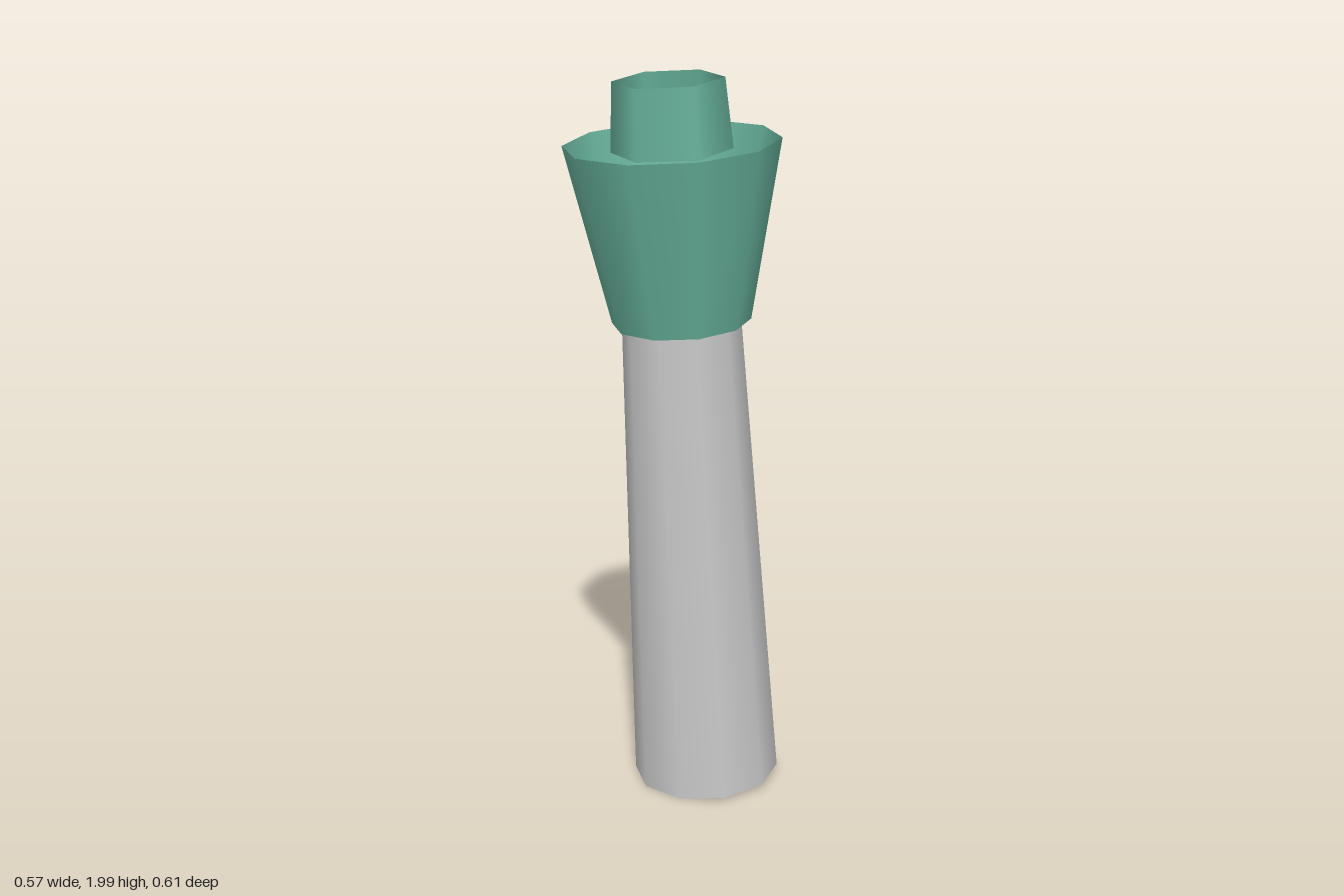
import * as THREE from 'three';

// Leaning centre line shared by all parts
const foot = new THREE.Vector3(0.028, 0.02, -0.106);
const slope = new THREE.Vector3(-0.0155, 1, 0.0725);
const axis = slope.clone().normalize();

const grey = new THREE.MeshStandardMaterial({ color: 0xcccccc, side: THREE.DoubleSide });
const green = new THREE.MeshStandardMaterial({ color: 0x69b59e, side: THREE.DoubleSide });

// Open tapered tube between two heights on the leaning centre line
function tube(name, y0, y1, r0, r1, sides, turn, material) {
  const length = (y1 - y0) * slope.length();
  const geometry = new THREE.CylinderGeometry(r1, r0, length, sides, 1, true, turn);
  const mesh = new THREE.Mesh(geometry, material);
  mesh.name = name;
  mesh.quaternion.setFromUnitVectors(new THREE.Vector3(0, 1, 0), axis);
  mesh.position.copy(foot).addScaledVector(slope, (y0 + y1) / 2 - foot.y);
  return mesh;
}

export function createModel() {
  const model = new THREE.Group();
  model.name = 'leaningTower';
  model.add(
    // Long shaft, slightly narrower at the top
    tube('shaft', 0.02, 1.4, 0.203, 0.158, 10, 0.225, grey),
    // Flared cup around the shaft top
    tube('flaredCup', 1.348, 1.828, 0.186, 0.287, 10, 0.225, green),
    // Small six-sided collar above the cup
    tube('topCollar', 1.805, 1.989, 0.16, 0.147, 6, 0.01, green)
  );
  return model;
}
